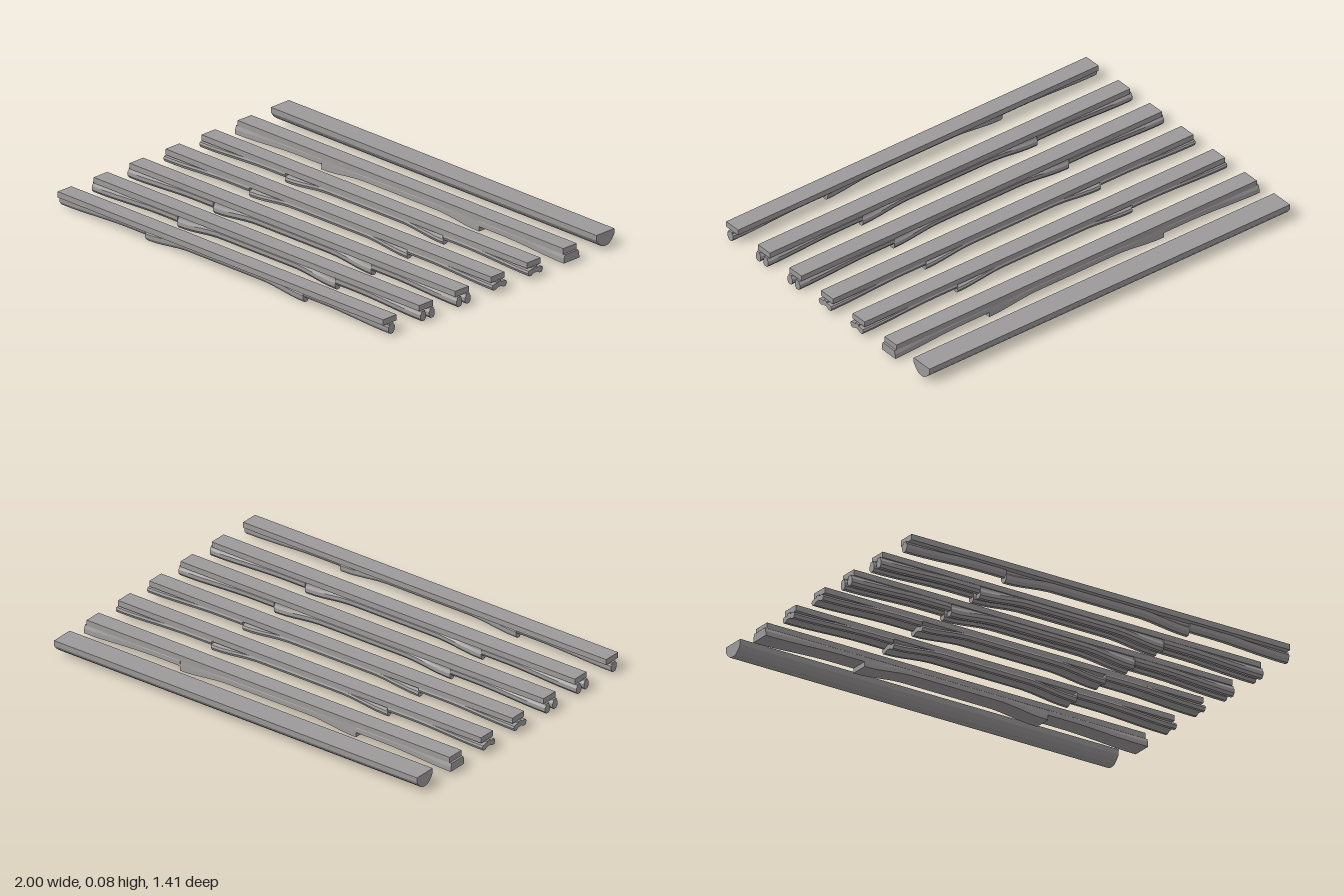
import * as THREE from 'three';

const PLATE_BOTTOM = 0.055, PLATE_TOP = 0.082;

// Mirror a half profile [z, y] into a closed outline
const mirrored = (half) => [...half, ...half.slice().reverse().map(([z, y]) => [-z, y])];
const shifted = (pts, d) => pts.map(([z, y]) => [z + d, y]);

const single = mirrored([[0.012, 0.056], [0.012, 0.042], [0.02, 0.034], [0.019, 0.015], [0.008, 0]]);
const leg = mirrored([[0.009, 0.056], [0.011, 0.042], [0.017, 0.03], [0.017, 0.012], [0.008, 0]]);
const wings = mirrored([[0.01, 0.056], [0.01, 0.043], [0.028, 0.043], [0.041, 0.037], [0.045, 0.026],
  [0.038, 0.012], [0.025, 0.011], [0.01, 0.02]]);
const block = mirrored([[0.04, 0.056], [0.042, 0.03], [0.043, 0.008]]);
const hull = mirrored([[0.055, PLATE_TOP], [0.054, 0.056], [0.04, 0.037], [0.022, 0.022], [0.008, 0.018]]);

// Extrude a profile along x from x0 to x1
function sweep(profile, x0, x1, steps = 1) {
  const shape = new THREE.Shape(profile.map(([z, y]) => new THREE.Vector2(-z, y)));
  const geo = new THREE.ExtrudeGeometry(shape, { depth: x1 - x0, steps, bevelEnabled: false });
  return geo.rotateY(Math.PI / 2).translate(x0, 0, 0);
}

// Raise the lower edge away from the segment ends; optionally widen the outer ends
function arch(geo, lift, flare) {
  const p = geo.attributes.position;
  for (let i = 0; i < p.count; i++) {
    const x = Math.abs(p.getX(i)), y = p.getY(i);
    const hang = THREE.MathUtils.clamp((PLATE_BOTTOM - y) / 0.02, 0, 1);
    p.setY(i, y + lift(x) * hang);
    p.setZ(i, p.getZ(i) * (1 + flare * hang * THREE.MathUtils.smoothstep(x, 0.75, 1)));
  }
  geo.computeVertexNormals();
  return geo;
}

const endLift = (x) => 0.009 + 0.014 * (1 - THREE.MathUtils.smoothstep(x, 0.6, 0.98));
const middleLift = (x) => 0.022 * (1 - THREE.MathUtils.smoothstep(x, 0.22, 0.47));

export function createModel() {
  const model = new THREE.Group();
  const grey = new THREE.MeshStandardMaterial({ color: 0x9c9999, flatShading: true });
  const add = (parent, geo, name) => {
    const mesh = new THREE.Mesh(geo, grey);
    mesh.name = name;
    parent.add(mesh);
  };

  // Beams from front to back, each with its hanging profiles
  const pair = [shifted(leg, 0.026), shifted(leg, -0.026)];
  const beams = [
    { z: 0.664, name: 'singleRailBeam', rails: [single] },
    { z: 0.444, name: 'doubleRailBeamFront', rails: pair },
    { z: 0.225, name: 'doubleRailBeamBack', rails: pair },
    { z: 0.006, name: 'wingedBeamFront', rails: [wings] },
    { z: -0.213, name: 'wingedBeamBack', rails: [wings] },
    { z: -0.433, name: 'blockBeam', rails: [block], flare: 0.1 },
  ];
  for (const { z, name, rails, flare = 0 } of beams) {
    const beam = new THREE.Group();
    beam.name = name;
    beam.position.z = z;
    const plate = new THREE.BoxGeometry(1.98, PLATE_TOP - PLATE_BOTTOM, 0.083);
    add(beam, plate.translate(0, (PLATE_TOP + PLATE_BOTTOM) / 2, 0), 'topPlate');
    for (const rail of rails) {
      add(beam, arch(sweep(rail, -1, -0.48, 10), endLift, flare), 'rightRail');
      add(beam, arch(sweep(rail, -0.48, 0.48, 20), middleLift, 0), 'middleRail');
      add(beam, arch(sweep(rail, 0.48, 1, 10), endLift, flare), 'leftRail');
    }
    model.add(beam);
  }

  // Half-round beam at the back
  add(model, sweep(hull, -0.99, 0.99).translate(0, 0, -0.649), 'halfRoundBeam');
  return model;
}
